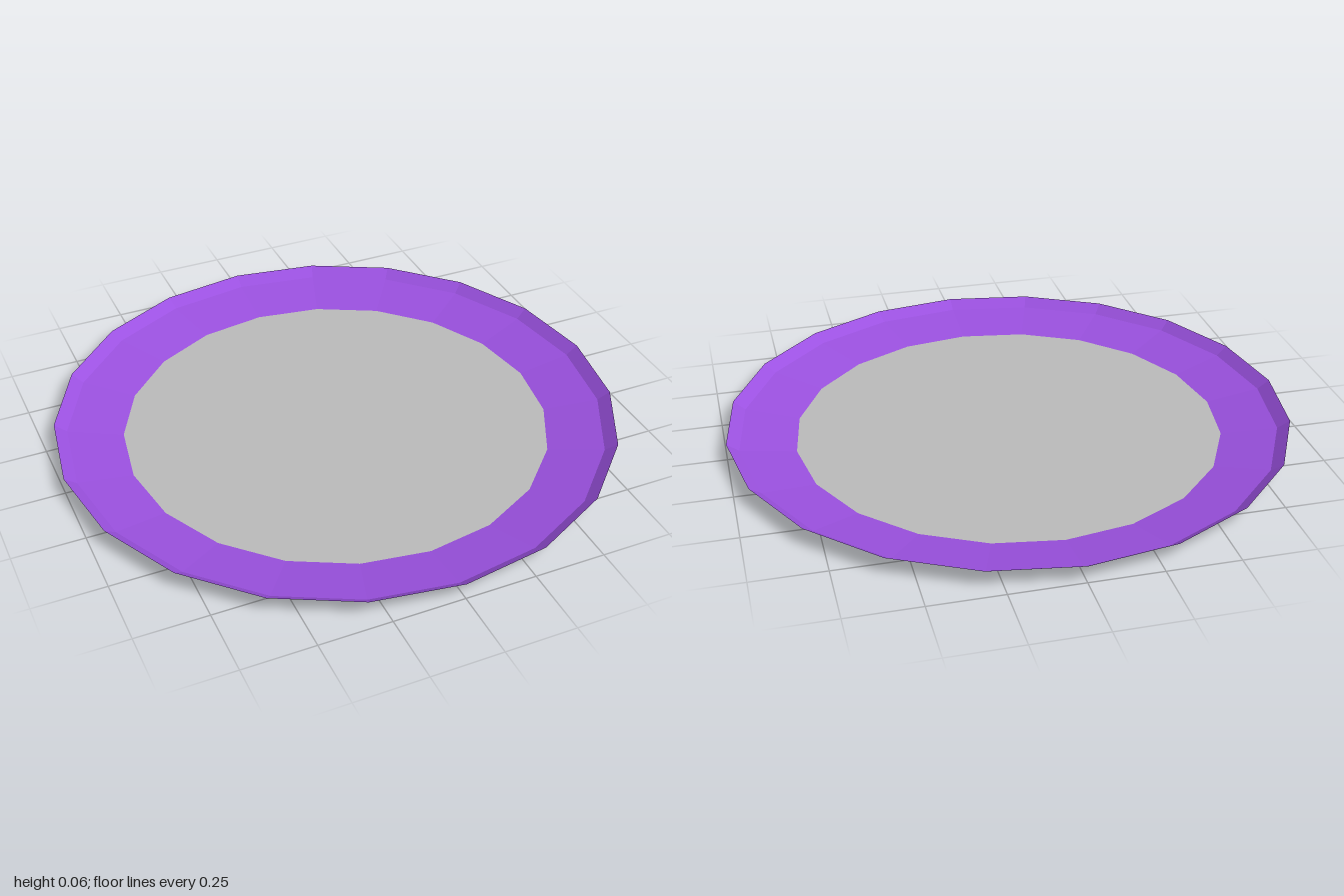
import * as THREE from 'three';

const SIDES = 20;
const BASE_RADIUS = 0.76;

export function createModel() {
  const purple = new THREE.MeshStandardMaterial({ color: 0x9b51e0, flatShading: true, side: THREE.DoubleSide });
  purple.name = 'purple';
  const grey = new THREE.MeshStandardMaterial({ color: 0xbdbdbd, flatShading: true, side: THREE.DoubleSide });
  grey.name = 'grey';

  const plate = new THREE.Group();
  plate.name = 'plate';

  // Flat centre, seen from above and below
  const centre = new THREE.Mesh(new THREE.CircleGeometry(BASE_RADIUS, SIDES).rotateX(-Math.PI / 2), grey);
  centre.name = 'centre';
  plate.add(centre);

  // Shallow sloping border with a steeper lip, profiled from the outside in
  const profile = [
    new THREE.Vector2(1, 0.06),
    new THREE.Vector2(0.957, 0.03),
    new THREE.Vector2(BASE_RADIUS, 0),
  ];
  const border = new THREE.Mesh(new THREE.LatheGeometry(profile, SIDES), purple);
  border.name = 'border';
  plate.add(border);

  return plate;
}
